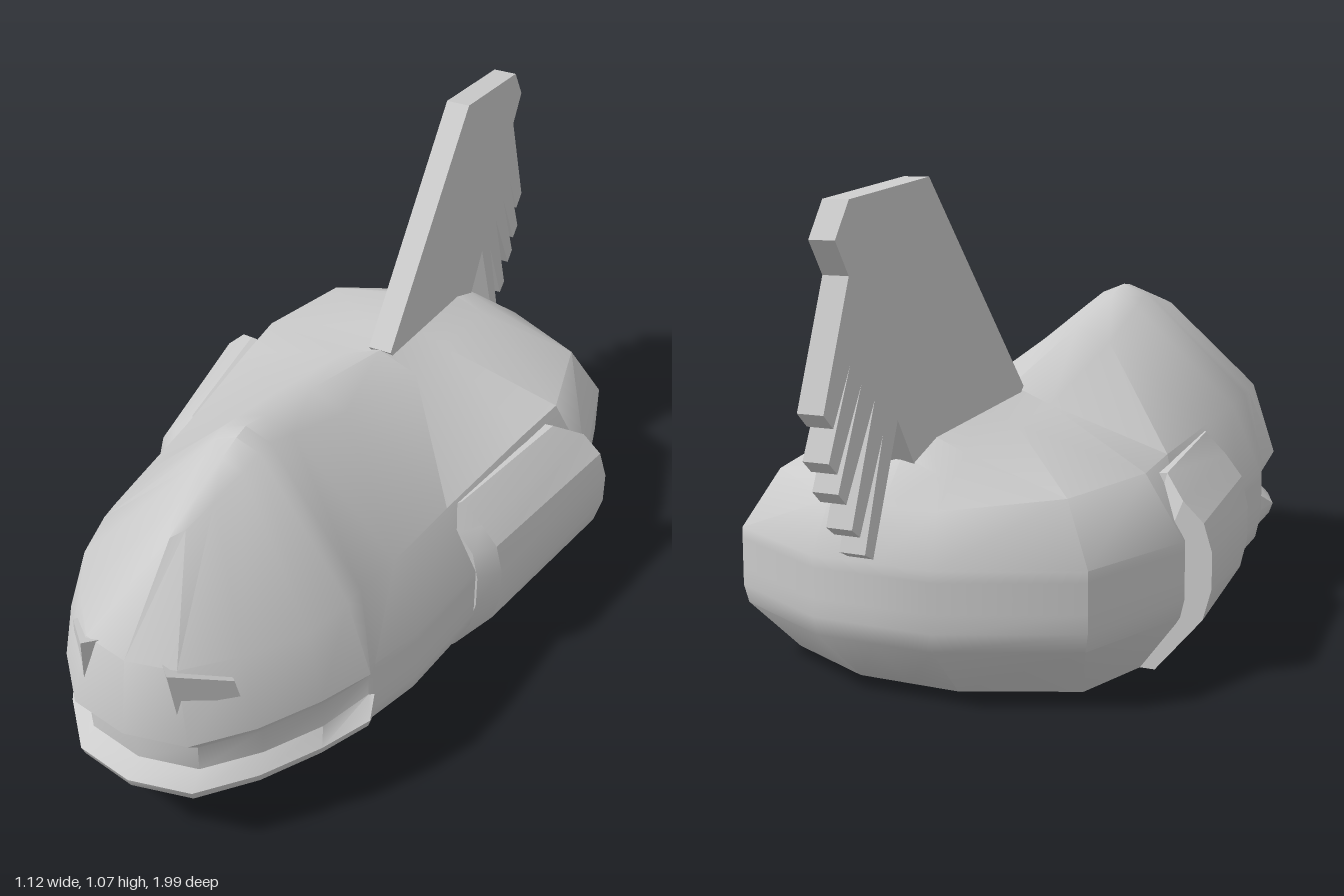
import * as THREE from 'three';
import { toCreasedNormals } from 'three/addons/utils/BufferGeometryUtils.js';

const material = new THREE.MeshStandardMaterial({ color: 0xcccccc });

// Linear interpolation through [z, y] pairs sorted by z
function along(points, z) {
  for (let i = 1; i < points.length; i++) {
    const [z0, y0] = points[i - 1], [z1, y1] = points[i];
    if (z <= z1) return y0 + (y1 - y0) * Math.max(0, (z - z0) / (z1 - z0));
  }
  return points[points.length - 1][1];
}

// Skin over a list of columns, each a list of points of equal count
function skin(columns, closeColumns, closeRows, crease) {
  const n = columns.length, m = columns[0].length, index = [];
  for (let j = 0; j < (closeColumns ? n : n - 1); j++) {
    for (let i = 0; i < (closeRows ? m : m - 1); i++) {
      const j1 = (j + 1) % n, i1 = (i + 1) % m;
      const a = j * m + i, b = j1 * m + i, c = j1 * m + i1, d = j * m + i1;
      index.push(a, b, c, a, c, d);
    }
  }
  // end caps for a tube-like skin
  if (closeRows) {
    for (let i = 1; i < m - 1; i++) {
      const e = (n - 1) * m;
      index.push(0, i, i + 1, e, e + i + 1, e + i);
    }
  }
  const g = new THREE.BufferGeometry();
  g.setAttribute('position', new THREE.Float32BufferAttribute(columns.flat(2), 3));
  g.setIndex(index);
  return toCreasedNormals(g, crease);
}

// Mirror image across x = 0, with the winding restored
function mirrored(geometry) {
  const g = geometry.index ? geometry.toNonIndexed() : geometry.clone();
  for (const attribute of [g.attributes.position, g.attributes.normal]) {
    const a = attribute.array;
    for (let i = 0; i < a.length; i += 3) a[i] *= -1;
    for (let i = 0; i < a.length; i += 9) {
      for (let k = 0; k < 3; k++) [a[i + 3 + k], a[i + 6 + k]] = [a[i + 6 + k], a[i + 3 + k]];
    }
  }
  return g;
}

function makeBody() {
  const spine = [[-0.8, 0.3], [-0.67, 0.5], [-0.6, 0.535], [-0.18, 0.58], [0.47, 0.765], [0.76, 0.69], [0.96, 0.5]];
  const belly = [[-0.8, 0.005], [0.38, 0.005], [0.6, 0.04], [0.88, 0.09]];
  // Half outline from nose to tail: widest x, z; shoulder x, y, z; ridge edge x, z
  const outline = [
    [0, 0.99, 0, 0.5, 0.96, 0, 0.77],
    [0.14, 0.96, 0.11, 0.5, 0.935, 0.02, 0.74],
    [0.24, 0.85, 0.2, 0.49, 0.83, 0.035, 0.65],
    [0.32, 0.72, 0.28, 0.48, 0.7, 0.05, 0.56],
    [0.375, 0.6, 0.31, 0.48, 0.58, 0.055, 0.5],
    [0.36, 0.55, 0.315, 0.48, 0.53, 0.06, 0.46],
    [0.4, 0.42, 0.33, 0.47, 0.4, 0.07, 0.38],
    [0.43, 0.17, 0.35, 0.46, 0.17, 0.09, 0.17],
    [0.475, -0.18, 0.39, 0.45, -0.18, 0.1, -0.18],
    [0.5, -0.35, 0.41, 0.44, -0.35, 0.1, -0.35],
    [0.42, -0.66, 0.35, 0.43, -0.61, 0.1, -0.58],
    [0.14, -0.8, 0.13, 0.41, -0.75, 0.09, -0.67],
    [0, -0.8, 0, 0.41, -0.75, 0, -0.67],
  ];
  const half = outline.map(([wx, wz, sx, sy, sz, rx, rz], j) => {
    const lip = j <= 4;
    const inset = j < 4 ? 0.955 : j === 4 ? 0.93 : 1; // mouth groove
    const bz = wz * (wz > 0 ? 0.89 : 0.82), by = along(belly, bz);
    return [
      [0, by, bz],
      [wx * (0.78 - 0.1 * wz), by, bz],
      [wx * 0.98, lip ? 0.155 : 0.13, wz * 0.99],
      [wx, lip ? 0.18 : 0.17, wz],
      [wx * inset, 0.21, wz * inset],
      [wx * inset, 0.275, wz * inset],
      [wx, lip ? 0.32 : 0.3, wz],
      [sx, sy, sz],
      [rx, along(spine, rz) - 0.4 * rx, rz],
      [0, along(spine, rz), rz],
    ];
  });
  const other = half.slice(1, -1).reverse().map(c => c.map(([x, y, z]) => [-x, y, z]));
  return skin([...half, ...other], true, false, 0.75);
}

// Raised side plate following the flank
function makeSidePlate() {
  const section = [[0.6, 0.005], [0.77, 0.005], [0.965, 0.13], [1, 0.2], [1, 0.28], [0.965, 0.35], [0.88, 0.4], [0.77, 0.45], [0.6, 0.44]];
  const stations = [[0.17, 0.435, 0], [0.12, 0.475, 0], [-0.34, 0.56, 0.02]];
  const rings = stations.map(([z, width, drop], k) => section.map(([x, y], i) => [
    x * width,
    y - drop * Math.max(0, (y - 0.28) / 0.17),
    k === 2 && i > 6 ? z + 0.06 : z, // rear top corner cut back
  ]));
  return skin(rings, false, true, 0.4);
}

function shapeOf(points) {
  return new THREE.Shape(points.map(([x, y]) => new THREE.Vector2(x, y)));
}

// Upright tail fin with a comb of five teeth, drawn as (-z, y)
function makeFin() {
  const tips = [[1, 0.635, 0.968, 0.605], [0.985, 0.54, 0.957, 0.515], [0.955, 0.475, 0.928, 0.45], [0.91, 0.395, 0.882, 0.375], [0.865, 0.335, 0.835, 0.32]];
  const roots = [[0.87, 0.785], [0.835, 0.735], [0.8, 0.675], [0.77, 0.61], [0.735, 0.585]];
  const points = [[0.18, 0.58], [0.6, 1.07], [0.9, 1.035], [0.95, 0.96], [0.905, 0.89]];
  tips.forEach(([ax, ay, bx, by], i) => {
    points.push([ax, ay], [bx, by], roots[i]);
    // start the next tooth a slit's width along
    if (i < 4) points.push([roots[i][0] + 0.008, roots[i][1] - 0.003]);
  });
  points.push([0.67, 0.48], [0.25, 0.5]);
  const g = new THREE.ExtrudeGeometry(shapeOf(points), { depth: 0.06, bevelEnabled: false });
  return g.rotateY(Math.PI / 2).translate(-0.03, 0, 0);
}

// Slanted eye block on the face
function makeEye() {
  const shape = shapeOf([[0.02, 0.355], [0.16, 0.355], [0.138, 0.45], [0, 0.505]]);
  const g = new THREE.ExtrudeGeometry(shape, { depth: 0.06, bevelEnabled: false });
  return g.translate(0, 0, -0.055).rotateY(0.81).translate(0.1, 0, 0.96);
}

export function createModel() {
  const model = new THREE.Group();
  const add = (name, geometry) => {
    const mesh = new THREE.Mesh(geometry, material);
    mesh.name = name;
    model.add(mesh);
  };
  const addPair = (name, geometry) => {
    add(`left${name}`, geometry);
    add(`right${name}`, mirrored(geometry));
  };
  add('body', makeBody());
  add('tailFin', makeFin());
  addPair('SidePlate', makeSidePlate());
  addPair('Eye', makeEye());
  return model;
}
